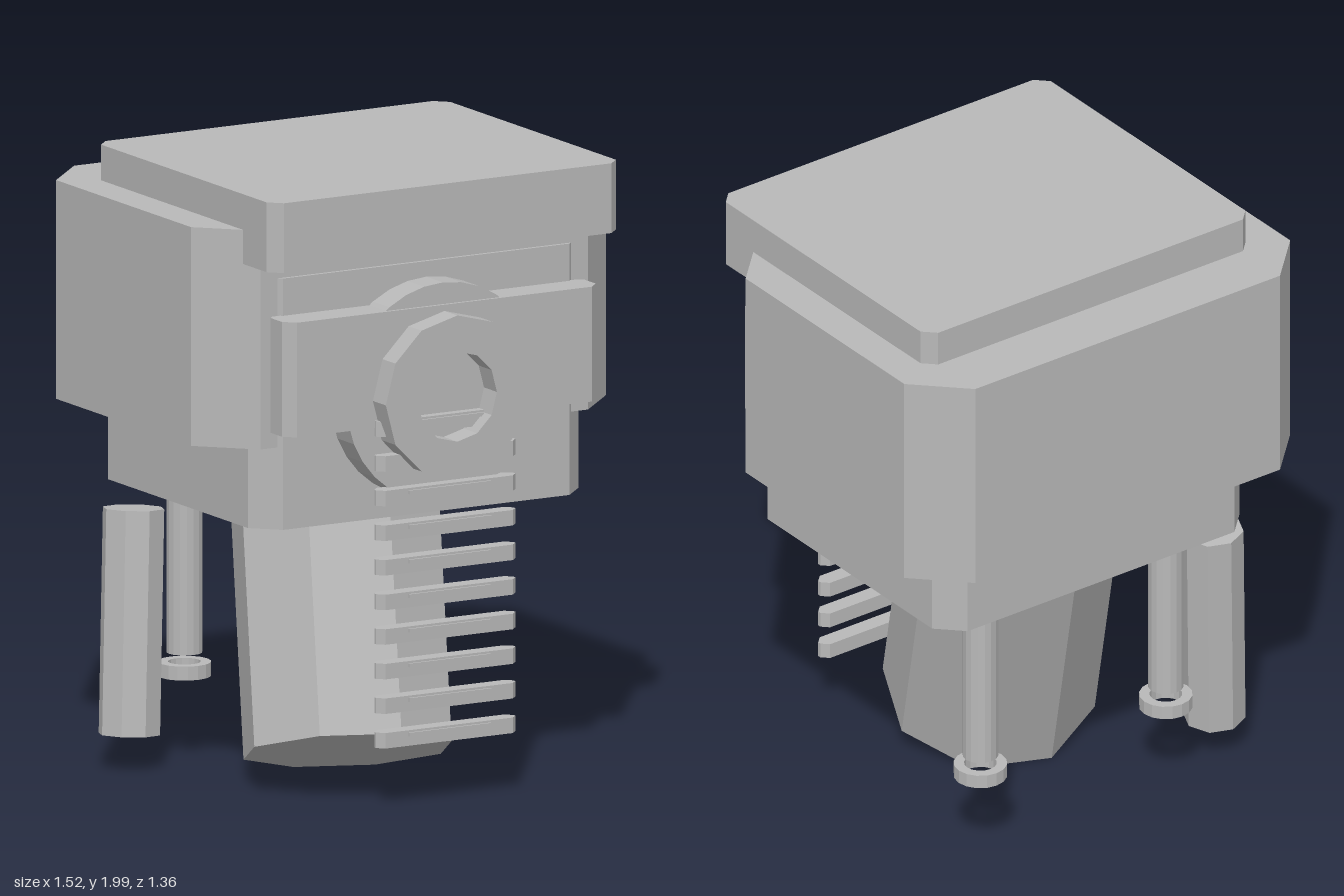
import * as THREE from 'three';

const grey = new THREE.MeshStandardMaterial({ color: 0xb8b8b8, flatShading: true });
grey.name = 'plain grey';
const smoothGrey = grey;

export function createModel() {
  const model = new THREE.Group();

  function add(name, geometry, x = 0, y = 0, z = 0) {
    const mesh = new THREE.Mesh(geometry, smoothGrey);
    mesh.name = name;
    mesh.position.set(x, y, z);
    model.add(mesh);
    return mesh;
  }

  // Upright block with chamfered corners, front and back chamfers set apart
  function block(w, z0, z1, h, front, back = front) {
    const s = new THREE.Shape([
      [-w + front, -z1], [w - front, -z1], [w, -z1 + front], [w, -z0 - back],
      [w - back, -z0], [-w + back, -z0], [-w, -z0 - back], [-w, -z1 + front],
    ].map(([x, y]) => new THREE.Vector2(x, y)));
    return new THREE.ExtrudeGeometry(s, { depth: h, bevelEnabled: false }).rotateX(-Math.PI / 2);
  }

  // Flat ring with a hole, facing +z
  function ring(outer, inner, depth, sides) {
    const circle = (r) => Array.from({ length: sides }, (_, i) => {
      const a = (i / sides) * Math.PI * 2;
      return new THREE.Vector2(Math.cos(a) * r, Math.sin(a) * r);
    });
    const s = new THREE.Shape(circle(outer));
    s.holes.push(new THREE.Path(circle(inner)));
    return new THREE.ExtrudeGeometry(s, { depth, bevelEnabled: false });
  }

  // Octagonal prism between two points
  function prism(name, radius, from, to) {
    const a = new THREE.Vector3(...from), b = new THREE.Vector3(...to);
    const dir = b.clone().sub(a);
    const mesh = add(name, new THREE.CylinderGeometry(radius, radius, dir.length(), 8));
    mesh.position.copy(a).add(b).multiplyScalar(0.5);
    mesh.quaternion.setFromUnitVectors(new THREE.Vector3(0, 1, 0), dir.normalize());
  }

  // Stacked body
  add('topCap', block(0.64, -0.485, 0.62, 0.225, 0.04), 0, 1.775);
  add('upperBody', block(0.76, -0.68, 0.475, 0.705, 0.16), 0, 1.18);
  add('lowerBody', block(0.605, -0.54, 0.487, 0.81, 0.08), 0, 0.915);

  // Front fittings
  add('frontBar', block(0.575, 0.48, 0.6, 0.37, 0.035, 0.015), 0, 1.235);
  add('frontDisc', new THREE.CylinderGeometry(0.352, 0.352, 0.105, 32).rotateX(Math.PI / 2), 0, 1.323, 0.537);
  add('frontRing', ring(0.262, 0.145, 0.085, 12), 0, 1.323, 0.595);

  // Hanging ladder of slats
  for (let i = 0; i < 10; i++) {
    const y = 0.23 + i * 0.1115;
    add('slat', block(0.255, 0.575, 0.63, 0.05, 0.022), 0, y - 0.025);
    add('slatLip', new THREE.BoxGeometry(0.3, 0.012, 0.03), 0, y + 0.012, 0.622);
  }

  // Tilted prisms
  prism('mainLeg', 0.34, [-0.145, 0.12, 0.245], [0.0, 1.12, -0.105]);
  prism('sidePrism', 0.1, [-0.61, 0.12, -0.32], [-0.565, 0.835, -0.37]);

  // Rear pins with ring feet
  for (const x of [-0.365, 0.365]) {
    add('rearPin', new THREE.CylinderGeometry(0.057, 0.057, 0.6, 16), x, 0.645, -0.393);
    add('pinFoot', ring(0.085, 0.052, 0.045, 16).rotateX(-Math.PI / 2), x, 0.27, -0.393);
  }
  return model;
}
